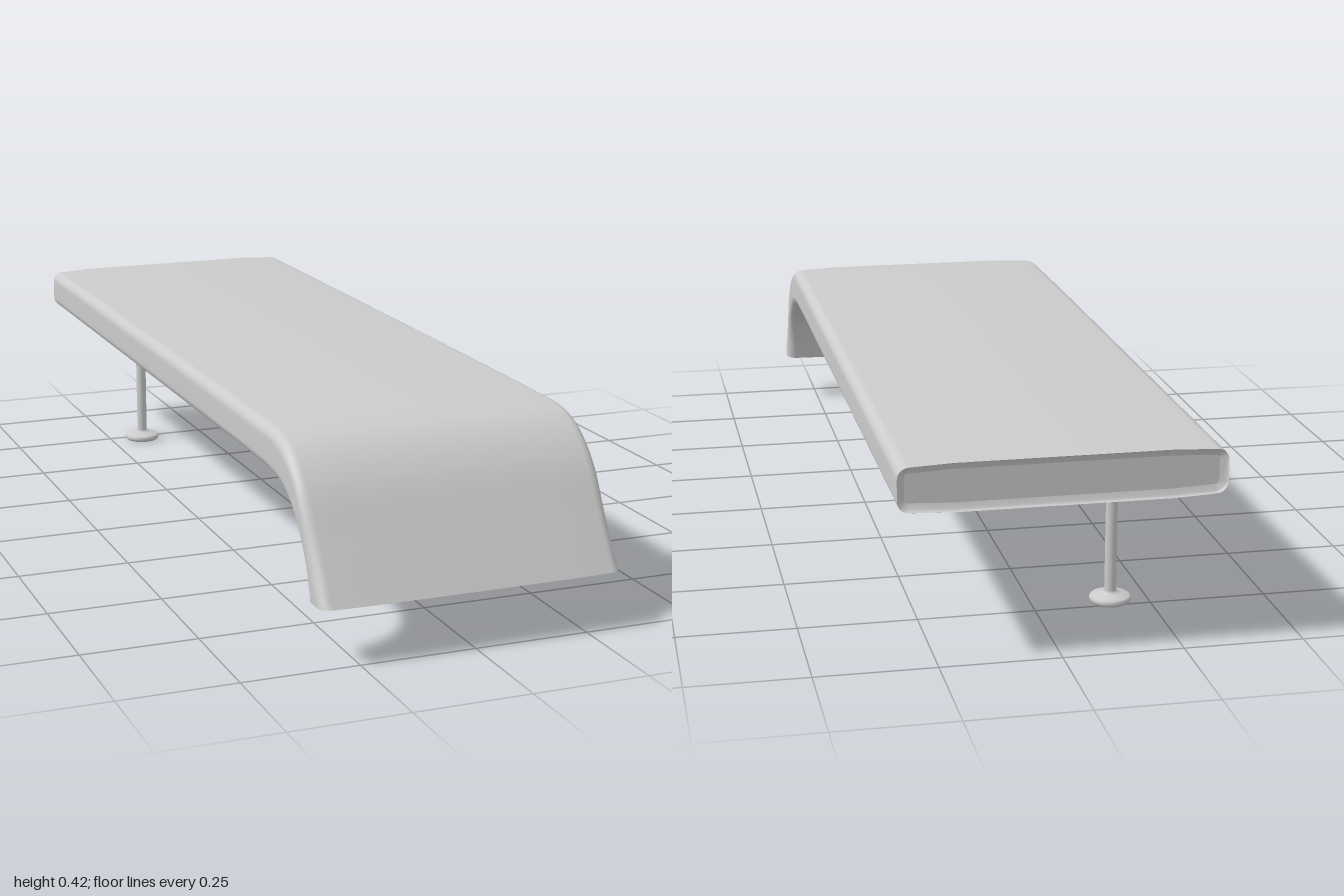
import * as THREE from 'three';

const material = new THREE.MeshStandardMaterial({ color: 0xcccccc });
const HALF_WIDTH = 0.33, CORNER = 0.024, END = 0.016, CROWN = 0.004;

// Side profile: [top z, top y, bottom z, bottom y] from the back to the front lip
const stations = [
  [-1, 0.42, -1, 0.32], [-0.9, 0.42, -0.9, 0.32], [0.3, 0.419, 0.3, 0.318],
  [0.6, 0.417, 0.58, 0.317], [0.72, 0.414, 0.7, 0.313], [0.77, 0.403, 0.765, 0.302],
  [0.815, 0.378, 0.815, 0.278], [0.865, 0.33, 0.862, 0.235], [0.93, 0.232, 0.89, 0.18],
  [1, 0.12, 0.91, 0.117],
];
const topCurve = new THREE.CatmullRomCurve3(stations.map(s => new THREE.Vector3(0, s[1], s[0])));
const bottomCurve = new THREE.CatmullRomCurve3(stations.map(s => new THREE.Vector3(0, s[3], s[2])));

// Rounded cross-section, counter-clockwise seen from the front
function section(t, inset) {
  const top = topCurve.getPoint(t), bottom = bottomCurve.getPoint(t);
  const centre = top.clone().add(bottom).multiplyScalar(0.5);
  const up = top.clone().sub(bottom);
  const halfHeight = up.length() / 2 - inset, halfWidth = HALF_WIDTH - inset;
  up.normalize();
  const r = Math.max(CORNER - inset, 0.008);
  const outline = [];
  [[1, 1], [-1, 1], [-1, -1], [1, -1]].forEach(([sx, sy], quarter) => {
    for (let k = 0; k <= 6; k++) {
      const a = (quarter + k / 6) * Math.PI / 2;
      outline.push([sx * (halfWidth - r) + r * Math.cos(a),
        sy * (halfHeight - CROWN - r) + r * Math.sin(a)]);
    }
    // slightly crowned top and bottom faces
    if (quarter % 2 === 0) for (const x of [0.22, 0, -0.22]) outline.push([sx * x, sy * halfHeight]);
  });
  return outline.map(([x, v]) => centre.clone().addScaledVector(up, v).setX(x));
}

function slabGeometry() {
  const segments = stations.length - 1, rings = [];
  const endStep = 1 / segments * END / 0.12;
  // rounded back end, body, rounded front end
  for (let k = 0; k <= 5; k++) {
    const a = k / 5 * Math.PI / 2;
    rings.push(section(endStep * (1 - Math.sin(a)), END * (1 - Math.sin(Math.acos(1 - Math.sin(a))))));
  }
  for (let i = 1; i < 72; i++) {
    const t = i / 72;
    if (t > endStep && t < 1 - endStep) rings.push(section(t, 0));
  }
  for (let k = 5; k >= 0; k--) {
    const a = k / 5 * Math.PI / 2;
    rings.push(section(1 - endStep * (1 - Math.sin(a)), END * (1 - Math.sin(Math.acos(1 - Math.sin(a))))));
  }

  const count = rings[0].length, points = rings.flat(), index = [];
  for (let i = 0; i < rings.length - 1; i++) {
    for (let j = 0; j < count; j++) {
      const n = (j + 1) % count;
      const a = i * count + j, b = i * count + n, c = a + count, d = b + count;
      index.push(a, b, c, b, d, c);
    }
  }
  // flat end caps
  [[rings[0], true], [rings[rings.length - 1], false]].forEach(([ring, back]) => {
    const centre = ring.reduce((sum, p) => sum.add(p), new THREE.Vector3()).divideScalar(count);
    const start = points.length;
    points.push(centre, ...ring);
    for (let j = 0; j < count; j++) {
      const a = start + 1 + j, b = start + 1 + (j + 1) % count;
      index.push(start, ...(back ? [b, a] : [a, b]));
    }
  });
  const geometry = new THREE.BufferGeometry().setFromPoints(points);
  geometry.setIndex(index);
  geometry.computeVertexNormals();
  return geometry;
}

// Thin post with a flared round foot
function legGeometry() {
  const profile = [[0, 0], [0.039, 0], [0.043, 0.003], [0.044, 0.007], [0.044, 0.012],
    [0.041, 0.015], [0.026, 0.019], [0.016, 0.022], [0.0125, 0.027], [0.0125, 0.33]];
  return new THREE.LatheGeometry(profile.map(p => new THREE.Vector2(...p)), 32);
}

export function createModel() {
  const group = new THREE.Group();
  const add = (name, geometry, x = 0, z = 0) => {
    const mesh = new THREE.Mesh(geometry, material);
    mesh.name = name;
    mesh.position.set(x, 0, z);
    group.add(mesh);
  };
  add('curvedSlab', slabGeometry());
  const leg = legGeometry();
  add('frontLeg', leg, 0.103, 0.635);
  add('backLeg', leg, -0.168, -0.725);
  return group;
}
